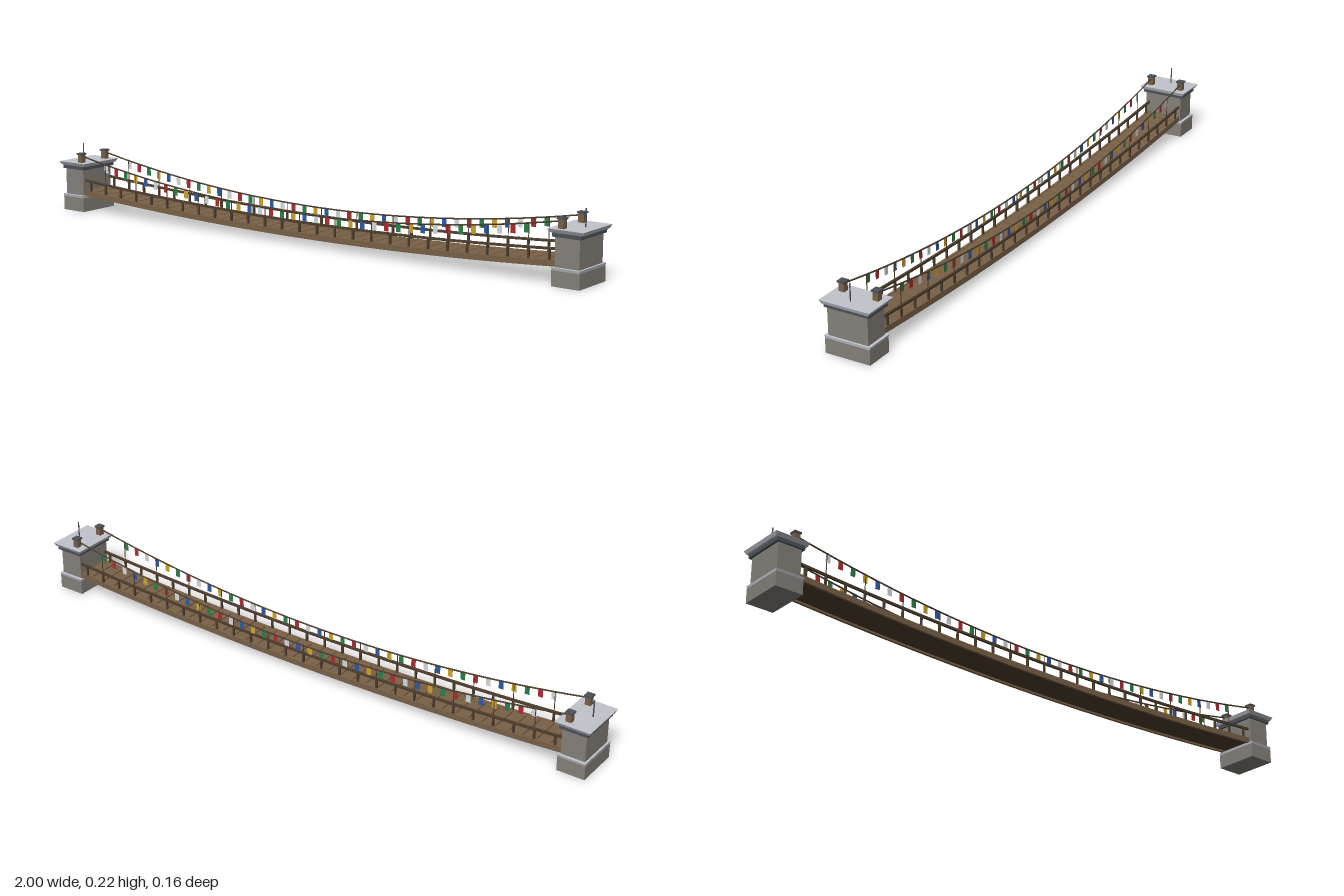
import * as THREE from 'three';

const mat = (name, color, side = THREE.FrontSide) => {
  const m = new THREE.MeshStandardMaterial({ color, side });
  m.name = name;
  return m;
};

export function createModel() {
  const model = new THREE.Group();
  model.name = 'suspensionFootbridge';
  const stone = mat('stone', 0x85817a);
  const capStone = mat('pale cap stone', 0xc2c4cd);
  const slate = mat('dark slate', 0x4c5159);
  const wood = mat('wood', 0x7a6147);
  const darkWood = mat('dark wood', 0x4e3f2e);
  const flagMats = [
    mat('white cloth', 0xd8dce2, THREE.DoubleSide),
    mat('red cloth', 0xb02a2e, THREE.DoubleSide),
    mat('green cloth', 0x2a8048, THREE.DoubleSide),
    mat('yellow cloth', 0xd0a52c, THREE.DoubleSide),
    mat('blue cloth', 0x2c5aa8, THREE.DoubleSide),
  ];

  const add = (parent, name, geo, material, x = 0, y = 0, z = 0) => {
    const m = new THREE.Mesh(geo, material);
    m.name = name;
    m.position.set(x, y, z);
    parent.add(m);
    return m;
  };
  const box = (parent, name, material, w, h, d, x, y, z) =>
    add(parent, name, new THREE.BoxGeometry(w, h, d), material, x, y, z);

  // Box whose bottom face is scaled about its centre
  const flared = (w, h, d, sx, sz) => {
    const g = new THREE.BoxGeometry(w, h, d);
    const p = g.attributes.position;
    for (let i = 0; i < p.count; i++) {
      if (p.getY(i) < 0) p.setXYZ(i, p.getX(i) * sx, p.getY(i), p.getZ(i) * sz);
    }
    g.computeVertexNormals();
    return g;
  };

  // Sagging curves
  const sag = (low, rise, half) => (x) => low + rise * (x / half) ** 2;
  const deckY = sag(0.039, 0.032, 0.91);
  const railY = sag(0.075, 0.033, 0.91);
  const cableY = sag(0.098, 0.088, 0.925);

  // Curved beam that follows a sagging curve
  const beam = (name, material, f, height, depth, half, z) => {
    const n = 40, s = new THREE.Shape();
    for (let i = 0; i <= n; i++) {
      const x = -half + (2 * half * i) / n;
      if (i) s.lineTo(x, f(x)); else s.moveTo(x, f(x));
    }
    for (let i = n; i >= 0; i--) {
      const x = -half + (2 * half * i) / n;
      s.lineTo(x, f(x) - height);
    }
    const g = new THREE.ExtrudeGeometry(s, { depth, bevelEnabled: false });
    g.translate(0, 0, -depth / 2);
    add(model, name, g, material, 0, 0, z);
  };

  // End piers with caps, rope posts and a pole
  for (const side of [-1, 1]) {
    const pier = new THREE.Group();
    pier.name = side < 0 ? 'rightPier' : 'leftPier';
    pier.position.x = side * 0.943;
    model.add(pier);
    box(pier, 'pierBase', stone, 0.09, 0.046, 0.146, 0, 0.023, 0.002);
    add(pier, 'baseLedge', flared(0.091, 0.008, 0.15, 0.97, 0.97), capStone, 0, 0.05, 0.002);
    box(pier, 'pierShaft', stone, 0.078, 0.088, 0.131, 0, 0.097, 0.002);
    box(pier, 'capCourse', slate, 0.092, 0.013, 0.146, 0, 0.147, 0.001);
    add(pier, 'capSlab', flared(0.114, 0.011, 0.164, 0.92, 0.92), capStone, 0, 0.158, 0);
    for (const z of [-0.054, 0.057]) {
      box(pier, 'ropePost', wood, 0.018, 0.028, 0.018, -side * 0.023, 0.177, z);
      box(pier, 'postCap', slate, 0.024, 0.005, 0.024, -side * 0.023, 0.1925, z);
    }
    add(pier, 'pole', new THREE.CylinderGeometry(0.002, 0.002, 0.055, 6), slate, side * 0.02, 0.19, 0.003);
  }

  // Deck planks, tilted to the curve
  const planks = 40, pitch = 1.82 / planks;
  for (let i = 0; i < planks; i++) {
    const x = -0.91 + pitch * (i + 0.5);
    const p = box(model, 'plank', wood, pitch - 0.004, 0.007, 0.112, x, deckY(x) - 0.004, 0);
    p.rotation.z = Math.atan((2 * 0.032 * x) / 0.91 ** 2);
  }
  beam('deckUnderlay', darkWood, (x) => deckY(x) - 0.007, 0.005, 0.1, 0.91, 0);

  for (const z of [-0.056, 0.056]) {
    // Side stringers and handrails
    beam('deckStringer', wood, (x) => deckY(x) + 0.001, 0.018, 0.008, 0.91, z);
    beam('handrail', darkWood, railY, 0.007, 0.007, 0.91, z);

    // Upper cable
    const pts = [];
    for (let i = 0; i <= 20; i++) {
      const x = -0.925 + 0.0925 * i;
      pts.push(new THREE.Vector3(x, cableY(x), z));
    }
    add(model, 'upperCable', new THREE.TubeGeometry(new THREE.CatmullRomCurve3(pts), 60, 0.0024, 6), darkWood);

    // Balusters up to the rail, with thin hangers up to the cable
    for (let i = 0; i <= 26; i++) {
      const x = -0.88 + (1.76 * i) / 26;
      const low = deckY(x) - 0.004, mid = railY(x) - 0.002, top = cableY(x);
      box(model, 'baluster', darkWood, 0.006, mid - low, 0.006, x, (mid + low) / 2, z);
      if (i % 2 === 1) box(model, 'hanger', darkWood, 0.002, top - mid, 0.002, x, (top + mid) / 2, z);
    }

    // Cloth flags in a repeating colour order
    for (let i = 0; i < 38; i++) {
      const x = -0.808 + (1.612 * i) / 37;
      add(model, 'flag', new THREE.PlaneGeometry(0.016, 0.026), flagMats[i % 5], x, cableY(x) - 0.014, z);
    }
  }
  return model;
}
